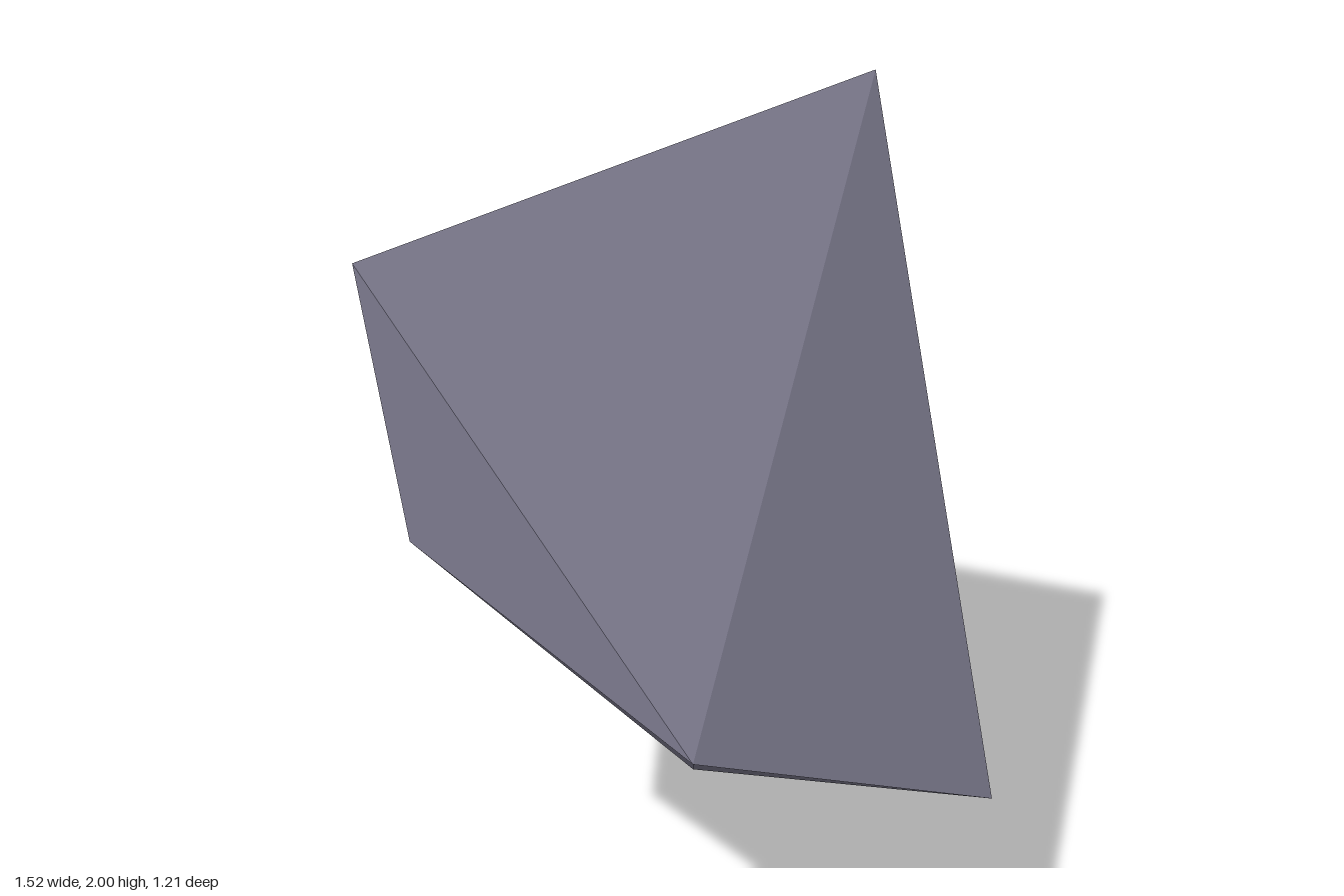
import * as THREE from 'three';

// Corners of the faceted stone
const P = {
  top: [0.29, 2.0, -0.35],
  shoulder: [-0.515, 1.705, 0.485],
  side: [-0.76, 1.325, -0.165],
  front: [0.31, 0.795, 0.6],
  tip: [0.76, 0.495, 0],
  foot: [-0.235, 0, -0.555],
  back: [-0.33, 1.66, -0.605],
  backTop: [0.225, 1.735, -0.535],
  frontSide: [-0.375, 1.13, 0.545],
  lowSide: [-0.45, 0.51, -0.4],
};

// Flat facets, each turned so that it faces away from the stone's centre
function facets(name, color, faces) {
  const centre = new THREE.Vector3(0, 1.1, 0);
  const pos = [];
  for (const face of faces) {
    const [a, b, c] = face.map((k) => new THREE.Vector3(...P[k]));
    const n = b.clone().sub(a).cross(c.clone().sub(a));
    const outward = n.dot(a.clone().sub(centre)) > 0;
    for (const v of outward ? [a, b, c] : [a, c, b]) pos.push(v.x, v.y, v.z);
  }
  const geo = new THREE.BufferGeometry();
  geo.setAttribute('position', new THREE.Float32BufferAttribute(pos, 3));
  geo.computeVertexNormals();
  const mesh = new THREE.Mesh(geo, new THREE.MeshStandardMaterial({ color, flatShading: true }));
  mesh.name = name;
  return mesh;
}

export function createModel() {
  const group = new THREE.Group();
  group.name = 'stone';

  // Grey body of the stone
  group.add(facets('stoneBody', 0x777588, [
    ['top', 'shoulder', 'front'],
    ['top', 'front', 'tip'],
    ['top', 'tip', 'backTop'],
    ['top', 'backTop', 'back'],
    ['backTop', 'tip', 'foot'],
    ['front', 'tip', 'foot'],
    ['shoulder', 'back', 'side'],
    ['shoulder', 'side', 'frontSide'],
    ['shoulder', 'frontSide', 'front'],
    ['side', 'back', 'lowSide'],
    ['back', 'lowSide', 'foot'],
    ['side', 'frontSide', 'lowSide'],
    ['frontSide', 'lowSide', 'foot'],
    ['frontSide', 'front', 'foot'],
  ]));

  // Ochre mineral facets on the top and back
  group.add(facets('oreFacets', 0x774b0e, [
    ['top', 'shoulder', 'back'],
    ['back', 'backTop', 'foot'],
  ]));

  return group;
}
